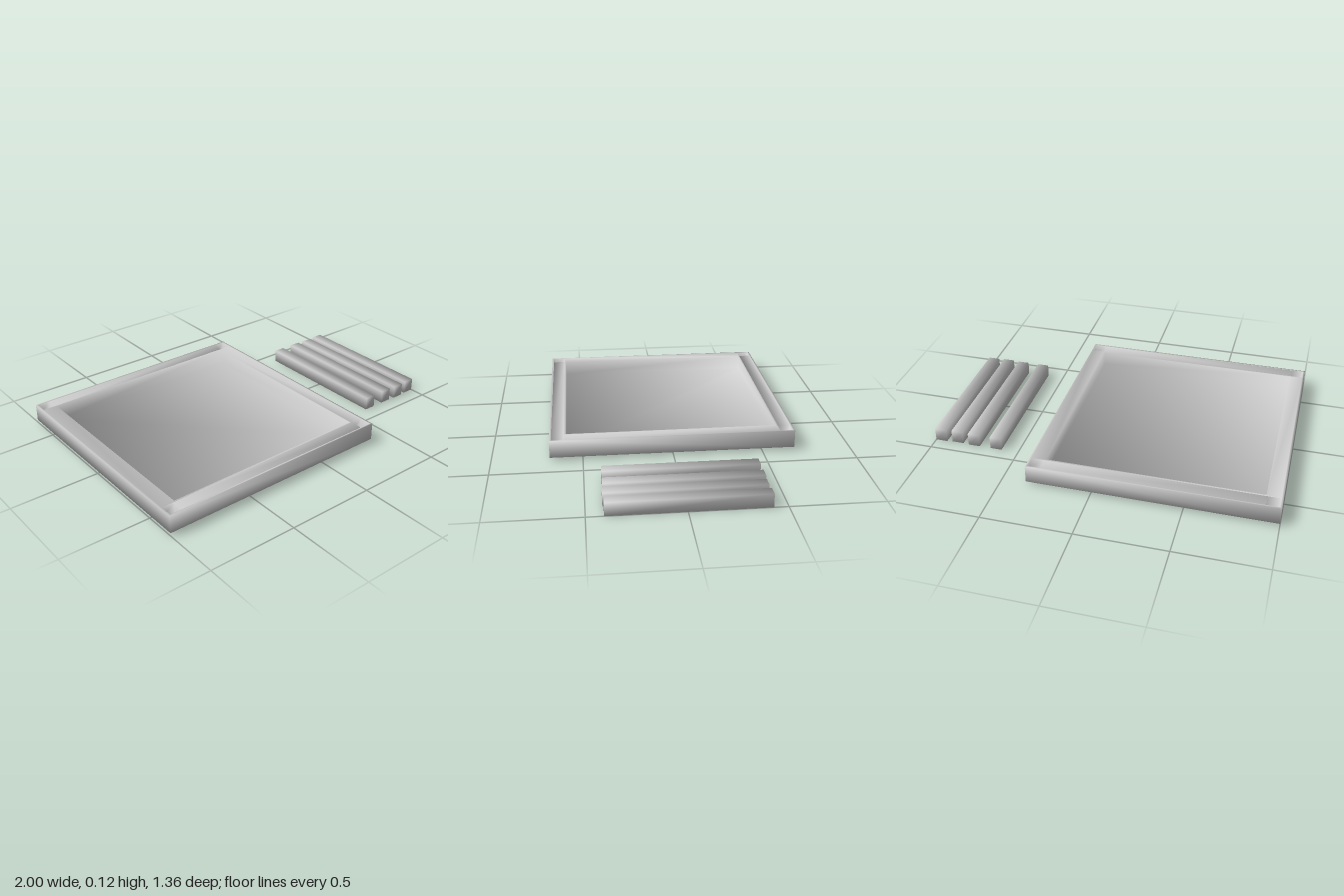
import * as THREE from 'three';
import { mergeGeometries, mergeVertices } from 'three/addons/utils/BufferGeometryUtils.js';

const material = new THREE.MeshStandardMaterial({ color: 0xcccccc });

// Weld all corners and average the normals by corner angle, for soft shading over the edges
function soften(geometry) {
  geometry.deleteAttribute('normal');
  geometry.deleteAttribute('uv');
  const welded = mergeVertices(geometry, 1e-4);
  const position = welded.attributes.position, index = welded.index.array;
  const points = Array.from({ length: position.count }, (_, i) => new THREE.Vector3().fromBufferAttribute(position, i));
  const normals = points.map(() => new THREE.Vector3());
  for (let t = 0; t < index.length; t += 3) {
    const ids = [index[t], index[t + 1], index[t + 2]];
    const face = new THREE.Triangle(...ids.map((i) => points[i])).getNormal(new THREE.Vector3());
    ids.forEach((id, k) => {
      const toNext = points[ids[(k + 1) % 3]].clone().sub(points[id]);
      const toLast = points[ids[(k + 2) % 3]].clone().sub(points[id]);
      normals[id].addScaledVector(face, toNext.angleTo(toLast));
    });
  }
  const flat = normals.flatMap((n) => n.normalize().toArray());
  welded.setAttribute('normal', new THREE.Float32BufferAttribute(flat, 3));
  return welded;
}

// Corners of a rectangle [x0, x1, z0, z1]
const corners = ([x0, x1, z0, z1]) => [[x0, z0], [x0, z1], [x1, z1], [x1, z0]];

// Four upright walls around a rectangle, facing outward or inward
function walls(rect, y0, y1, inward) {
  const positions = [], index = [];
  corners(rect).forEach(([x, z], i) => {
    positions.push(x, y0, z, x, y1, z);
    const a = i * 2, b = ((i + 1) % 4) * 2;
    if (inward) index.push(a, a + 1, b, b, a + 1, b + 1);
    else index.push(a, b, a + 1, b, b + 1, a + 1);
  });
  const g = new THREE.BufferGeometry();
  g.setAttribute('position', new THREE.Float32BufferAttribute(positions, 3));
  g.setIndex(index);
  return g;
}

// Horizontal face with optional rectangular holes, facing up or down
function sheet(rect, y, holes = [], down = false) {
  const toPoints = (r) => corners(r).map(([x, z]) => new THREE.Vector2(x, down ? z : -z));
  const shape = new THREE.Shape(toPoints(rect));
  holes.forEach((h) => shape.holes.push(new THREE.Path(toPoints(h))));
  const g = new THREE.ShapeGeometry(shape);
  g.rotateX(down ? Math.PI / 2 : -Math.PI / 2);
  g.translate(0, y, 0);
  g.deleteAttribute('normal');
  g.deleteAttribute('uv');
  return g;
}

export function createModel() {
  const group = new THREE.Group();
  const add = (name, geometry) => {
    const mesh = new THREE.Mesh(geometry, material);
    mesh.name = name;
    group.add(mesh);
    return mesh;
  };

  // Upturned table top: thin panel with a raised rim and a leg socket in each corner
  const bottom = 0.017, top = 0.116, panel = 0.03, socketFloor = 0.06;
  const outline = [-1, 0.36, -0.681, 0.681];
  const recess = [-0.912, 0.272, -0.59, 0.59];
  const sockets = [];
  for (const [x0, x1] of [[-0.99, -0.92], [0.28, 0.35]]) {
    sockets.push([x0, x1, -0.67, -0.6], [x0, x1, 0.6, 0.67]);
  }
  const parts = [
    sheet(outline, bottom, [], true),
    walls(outline, bottom, top, false),
    sheet(outline, top, [recess, ...sockets]),
    walls(recess, panel, top, true),
    sheet(recess, panel),
  ];
  for (const s of sockets) parts.push(walls(s, socketFloor, top, true), sheet(s, socketFloor));
  add('tableTop', soften(mergeGeometries(parts)));

  // Four loose legs lying beside the top
  const legGeometry = soften(new THREE.BoxGeometry(0.067, 0.073, 0.834));
  [[0.633, -0.008], [0.766, -0.008], [0.868, -0.003], [0.9665, -0.008]].forEach(([x, z], i) => {
    add(`leg${i + 1}`, legGeometry).position.set(x, 0.0365, z);
  });

  return group;
}
